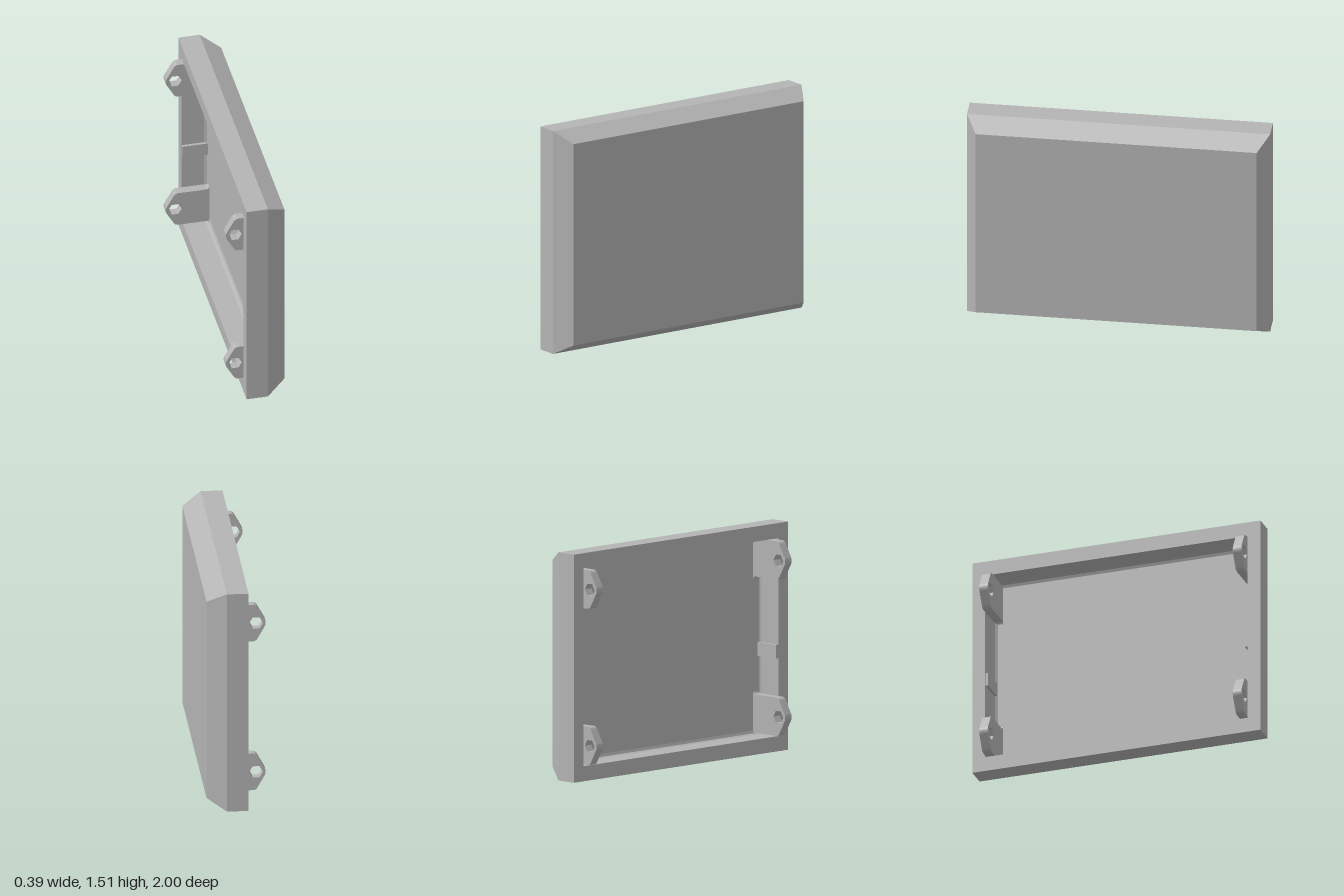
import * as THREE from 'three';

const HEIGHT = 1.51, MID = HEIGHT / 2;
const RIM_X = -0.075, FLOOR_X = 0.1, WALL_Z = 0.91;

// Bevelled tray: rectangular rings [x, inset in y, inset in z] joined in order
function trayGeometry() {
  const profile = [
    [0.195, 0.073, 0.073], [0.068, 0, 0], [RIM_X, 0, 0],
    [RIM_X, 0.1, 0.09], [0.075, 0.1, 0.09], [0.093, 0.107, 0.097], [FLOOR_X, 0.125, 0.115],
  ];
  const corners = [[-1, -1], [1, -1], [1, 1], [-1, 1]];
  const rings = profile.map(([x, iy, iz]) =>
    corners.map(([sy, sz]) => [x, MID + sy * (MID - iy), sz * (1 - iz)]));
  const pos = [];
  const quad = (a, b, c, d) => [a, b, c, a, c, d].forEach((p) => pos.push(...p));
  quad(...rings[0]);
  for (let r = 0; r < rings.length - 1; r++) {
    for (let i = 0; i < 4; i++) {
      const j = (i + 1) % 4;
      quad(rings[r][i], rings[r + 1][i], rings[r + 1][j], rings[r][j]);
    }
  }
  quad(...rings[rings.length - 1].slice().reverse());
  const g = new THREE.BufferGeometry();
  g.setAttribute('position', new THREE.Float32BufferAttribute(pos, 3));
  g.computeVertexNormals();
  return g;
}

// Mounting lug: rounded pointed plate with a hexagonal hole, flared at the floor
function lugGeometry() {
  const s = new THREE.Shape();
  s.moveTo(FLOOR_X, -0.147);
  s.quadraticCurveTo(FLOOR_X - 0.005, -0.127, FLOOR_X - 0.025, -0.127);
  s.lineTo(-0.11, -0.127);
  s.quadraticCurveTo(-0.13, -0.127, -0.14, -0.11);
  s.lineTo(-0.19, -0.022);
  s.quadraticCurveTo(-0.2, 0, -0.19, 0.022);
  s.lineTo(-0.14, 0.11);
  s.quadraticCurveTo(-0.13, 0.127, -0.11, 0.127);
  s.lineTo(FLOOR_X - 0.025, 0.127);
  s.quadraticCurveTo(FLOOR_X - 0.005, 0.127, FLOOR_X, 0.147);
  s.closePath();
  const hole = [];
  for (let i = 0; i < 6; i++) {
    const a = (i * Math.PI) / 3;
    hole.push(new THREE.Vector2(-0.132 + 0.045 * Math.cos(a), 0.045 * Math.sin(a)));
  }
  s.holes.push(new THREE.Path(hole));
  const g = new THREE.ExtrudeGeometry(s, { depth: 0.06, bevelEnabled: false, curveSegments: 6 });
  return g.translate(0, 0, -0.03);
}

export function createModel() {
  const grey = new THREE.MeshStandardMaterial({ color: 0xb4b4b4 });
  grey.name = 'plain grey';
  const model = new THREE.Group();
  model.name = 'cover';
  const add = (name, geometry, x, y, z) => {
    const mesh = new THREE.Mesh(geometry, grey);
    mesh.name = name;
    mesh.position.set(x, y, z);
    model.add(mesh);
  };

  add('tray', trayGeometry(), 0, 0, 0);

  const lug = lugGeometry();
  const rib = new THREE.BoxGeometry(FLOOR_X - RIM_X - 0.002, 0.09, 0.02);
  for (const side of [-1, 1]) {
    add('lowerLug', lug, 0, 0.238, side * (WALL_Z - 0.03));
    add('upperLug', lug, 0, 1.273, side * (WALL_Z - 0.03));
    // small rib halfway up each end wall
    add('wallRib', rib, (FLOOR_X + RIM_X) / 2 + 0.001, 0.66, side * (WALL_Z - 0.01));
  }
  return model;
}
